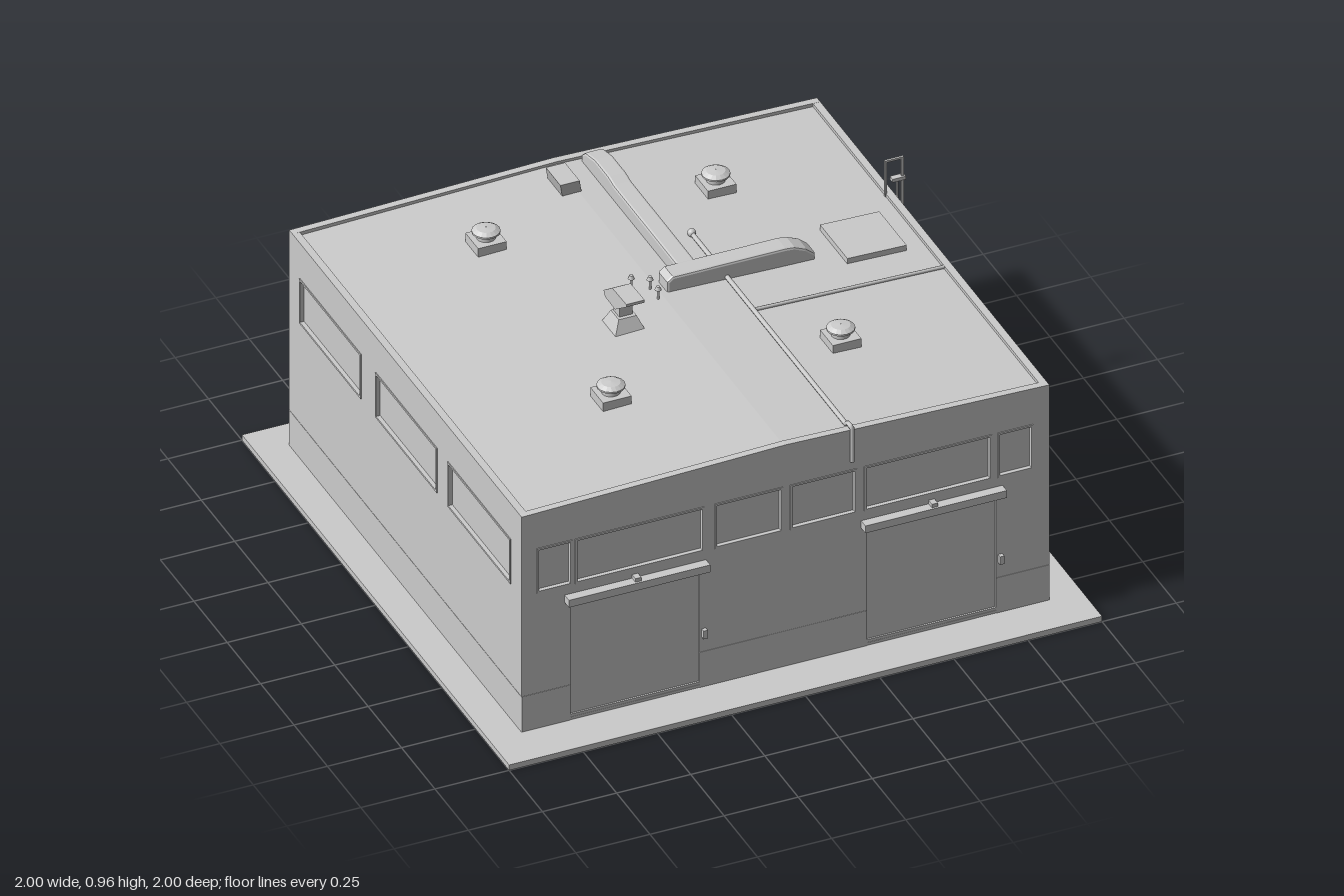
import * as THREE from 'three';

const mat = new THREE.MeshStandardMaterial({ color: 0xcccccc, flatShading: true });
const smooth = new THREE.MeshStandardMaterial({ color: 0xcccccc });

const EAVE = 0.815, RIDGE = 0.838, T = 0.025;      // wall top heights, wall thickness
const WIN_Y = [0.52, 0.685];
const roofY = x => 0.829 - 0.026 * Math.abs(x) / 0.89; // gently pitched roof surface

function add(parent, name, geo, x = 0, y = 0, z = 0, m = mat) {
  const mesh = new THREE.Mesh(geo, m);
  mesh.name = name;
  mesh.position.set(x, y, z);
  parent.add(mesh);
  return mesh;
}

// box given by its extents
function box(parent, name, [x0, x1], [y0, y1], [z0, z1]) {
  return add(parent, name, new THREE.BoxGeometry(x1 - x0, y1 - y0, z1 - z0),
    (x0 + x1) / 2, (y0 + y1) / 2, (z0 + z1) / 2);
}

function polygon(points) {
  return new THREE.Shape(points.map(p => new THREE.Vector2(p[0], p[1])));
}

const rect = (x0, x1, y0, y1) => [[x0, y0], [x1, y0], [x1, y1], [x0, y1]];

function extrude(shape, depth, bevel = 0) {
  return new THREE.ExtrudeGeometry(shape, {
    depth, bevelEnabled: bevel > 0, bevelSize: bevel, bevelThickness: bevel, bevelOffset: -bevel, bevelSegments: 2
  });
}

// wall panel with recessed openings and raised window frames, outer face at local z = 0
function wall(parent, name, outline, windows, doors = []) {
  const g = new THREE.Group();
  g.name = name;
  const shape = polygon(outline);
  windows.forEach(([a, b]) => shape.holes.push(polygon(rect(a, b, ...WIN_Y))));
  doors.forEach(([a, b]) => shape.holes.push(polygon(rect(a, b, 0.03, 0.46))));
  add(g, name + 'Panel', extrude(shape, T), 0, 0, -T);
  windows.forEach(([a, b]) => {
    const frame = polygon(rect(a, b, ...WIN_Y));
    const w = 0.007;
    frame.holes.push(polygon(rect(a + w, b - w, WIN_Y[0] + w, WIN_Y[1] - w)));
    add(g, 'windowFrame', extrude(frame, 0.014), 0, 0, -0.011);
  });
  parent.add(g);
  return g;
}

function ventilator(parent, x, z) {
  const g = new THREE.Group();
  g.name = 'roofVentilator';
  const y = roofY(x);
  box(g, 'ventBase', [-0.048, 0.048], [-0.01, 0.03], [-0.048, 0.048]);
  add(g, 'ventNeck', new THREE.CylinderGeometry(0.03, 0.03, 0.03, 16), 0, 0.04, 0, smooth);
  const cap = [[0.001, 0.045], [0.03, 0.045], [0.045, 0.051], [0.045, 0.057], [0.03, 0.066], [0.001, 0.069]]
    .map(p => new THREE.Vector2(...p));
  add(g, 'ventCap', new THREE.LatheGeometry(cap, 16));
  g.position.set(x, y, z);
  parent.add(g);
}

// tapered four-sided block
function frustum(parent, name, top, bottom, h, x, y, z) {
  const geo = new THREE.CylinderGeometry(top * Math.SQRT1_2, bottom * Math.SQRT1_2, h, 4);
  geo.rotateY(Math.PI / 4);
  return add(parent, name, geo, x, y, z);
}

export function createModel() {
  const root = new THREE.Group();
  root.name = 'industrialBuilding';

  box(root, 'groundSlab', [-1, 1], [0, 0.02], [-1, 1]);

  // core volume: glass plane behind the openings, and the pitched roof
  const core = polygon([[-0.878, 0.02], [0.878, 0.02], [0.878, roofY(0.878)], [0, roofY(0)], [-0.878, roofY(0.878)]]);
  add(root, 'coreAndRoof', extrude(core, 1.716), 0, 0, -0.878);

  // walls
  const gable = [[-0.89, 0.02], [0.89, 0.02], [0.89, EAVE], [0, RIDGE], [-0.89, EAVE]];
  const doors = [[-0.725, -0.29], [0.275, 0.71]];
  const front = wall(root, 'frontWall', gable,
    [[-0.84, -0.72], [-0.71, -0.275], [-0.24, -0.01], [0.015, 0.24], [0.265, 0.695], [0.715, 0.835]], doors);
  front.position.z = 0.85;
  const back = wall(root, 'backWall', gable, [[-0.82, -0.28], [-0.235, -0.02], [0.02, 0.235], [0.28, 0.82]]);
  back.rotation.y = Math.PI;
  back.position.z = -0.89;
  const sideWindows = [[0.30, 0.77], [-0.24, 0.22], [-0.81, -0.35]];
  for (const s of [1, -1]) {
    const span = [-0.865, 0.825].map(z => -s * z).sort((a, b) => a - b);
    const wins = sideWindows.map(w => w.map(z => -s * z).sort((a, b) => a - b));
    const side = wall(root, s > 0 ? 'leftWall' : 'rightWall', rect(...span, 0.02, EAVE), wins);
    side.rotation.y = s * Math.PI / 2;
    side.position.x = s * 0.89;
    box(root, 'sidePlinth', [s * 0.89 - 0.001, s * 0.89 + 0.001], [0.02, 0.15], [-0.89, 0.85]);
  }
  box(root, 'backPlinth', [-0.89, 0.89], [0.02, 0.15], [-0.891, -0.889]);
  for (const x of [[-0.89, -0.725], [-0.29, 0.275], [0.71, 0.89]])
    box(root, 'frontPlinth', x, [0.02, 0.15], [0.849, 0.851]);

  // roller doors with shutter housing, lamp and handle
  for (const [a, b] of doors) {
    const mid = (a + b) / 2;
    box(root, 'rollerDoor', [a, b], [0.03, 0.46], [0.83, 0.843]);
    box(root, 'doorSill', [a, b], [0.03, 0.04], [0.84, 0.849]);
    box(root, 'shutterHousing', [a - 0.02, b + 0.022], [0.46, 0.487], [0.84, 0.882]);
    box(root, 'doorLamp', [mid - 0.01, mid + 0.01], [0.487, 0.5], [0.845, 0.875]);
    box(root, 'doorSwitch', [b + 0.007, b + 0.021], [0.205, 0.235], [0.845, 0.865]);
  }

  for (const x of [-0.375, 0.4]) for (const z of [-0.56, 0.375]) ventilator(root, x, z);

  // T-shaped duct with sloped ends
  const arm = polygon([[0.1, 0.81], [0.1, 0.875], [0.62, 0.878], [0.66, 0.886], [0.76, 0.886], [0.83, 0.87], [0.86, 0.845], [0.86, 0.81]].reverse());
  add(root, 'ductArm', extrude(arm, 0.048, 0.008), 0.14 - 0.008, 0, 0).rotation.y = Math.PI / 2;
  root.children.at(-1).position.x = 0.088;
  const cross = polygon([[0.02, 0.81], [0.52, 0.81], [0.52, 0.835], [0.49, 0.86], [0.45, 0.877], [0.42, 0.88], [0.04, 0.88], [0.02, 0.865]]);
  add(root, 'ductCross', extrude(cross, 0.054, 0.008), 0, 0, -0.142);

  // intake with slanted hood
  frustum(root, 'hoodBase', 0.06, 0.1, 0.045, -0.172, 0.845, 0.02);
  frustum(root, 'hoodNeck', 0.045, 0.045, 0.06, -0.172, 0.885, 0.015);
  const hood = polygon([[-0.03, 0.895], [0.045, 0.897], [0.055, 0.915], [-0.01, 0.962], [-0.115, 0.965], [-0.115, 0.955]]);
  const hoodMesh = add(root, 'slantedHood', extrude(hood, 0.062), -0.206, 0, 0);
  hoodMesh.rotation.y = Math.PI / 2;

  // small leaning exhaust box
  const lean = new THREE.BoxGeometry(0.065, 0.065, 0.11);
  const p = lean.attributes.position;
  for (let i = 0; i < p.count; i++) {
    const k = p.getY(i) > 0 ? 1 : -1;
    p.setX(i, p.getX(i) - 0.01 * k);
    p.setZ(i, p.getZ(i) + 0.015 * k);
  }
  add(root, 'leaningExhaust', lean, -0.032, 0.857, -0.74);

  // roof hatch
  const hatch = box(root, 'roofHatch', [0.6, 0.8], [0.8, 0.828], [-0.225, -0.02]);
  hatch.rotation.z = -0.028;

  // small capped vent pipes
  for (const [x, z] of [[-0.07, -0.15], [-0.02, -0.12], [-0.02, -0.06]]) {
    add(root, 'ventPipe', new THREE.CylinderGeometry(0.004, 0.004, 0.045, 8), x, 0.845, z, smooth);
    add(root, 'ventPipeCap', new THREE.CylinderGeometry(0.006, 0.011, 0.012, 10), x, 0.868, z, smooth);
  }

  // roof pipe running over the front parapet, and its side branch
  const run = new THREE.CurvePath();
  const pts = [[0.222, 0.83, -0.34], [0.222, 0.83, 0.81], [0.222, 0.843, 0.825], [0.222, 0.843, 0.857], [0.222, 0.72, 0.857]]
    .map(v => new THREE.Vector3(...v));
  for (let i = 1; i < pts.length; i++) run.add(new THREE.LineCurve3(pts[i - 1], pts[i]));
  add(root, 'roofPipe', new THREE.TubeGeometry(run, 120, 0.008, 8), 0, 0, 0, smooth);
  add(root, 'pipeEnd', new THREE.SphereGeometry(0.014, 10, 8), 0.222, 0.832, -0.345, smooth);
  const branch = new THREE.LineCurve3(new THREE.Vector3(0.222, 0.828, 0.115), new THREE.Vector3(0.865, 0.81, 0.115));
  add(root, 'pipeBranch', new THREE.TubeGeometry(branch, 1, 0.006, 8), 0, 0, 0, smooth);

  // access ladder with hoop over the parapet
  const ladder = new THREE.Group();
  ladder.name = 'accessLadder';
  const z = [-0.327, -0.319];
  box(ladder, 'outerRail', [0.918, 0.926], [0.12, 0.935], z);
  box(ladder, 'innerRail', [0.902, 0.908], [0.12, 0.86], z);
  box(ladder, 'hoopTop', [0.862, 0.926], [0.929, 0.936], z);
  box(ladder, 'hoopLeg', [0.862, 0.868], [0.8, 0.935], z);
  for (const y of [0.13, 0.39, 0.68, 0.86])
    box(ladder, 'wallBracket', [0.885, 0.93], [y - 0.006, y + 0.006], [-0.333, -0.313]);
  root.add(ladder);

  return root;
}
